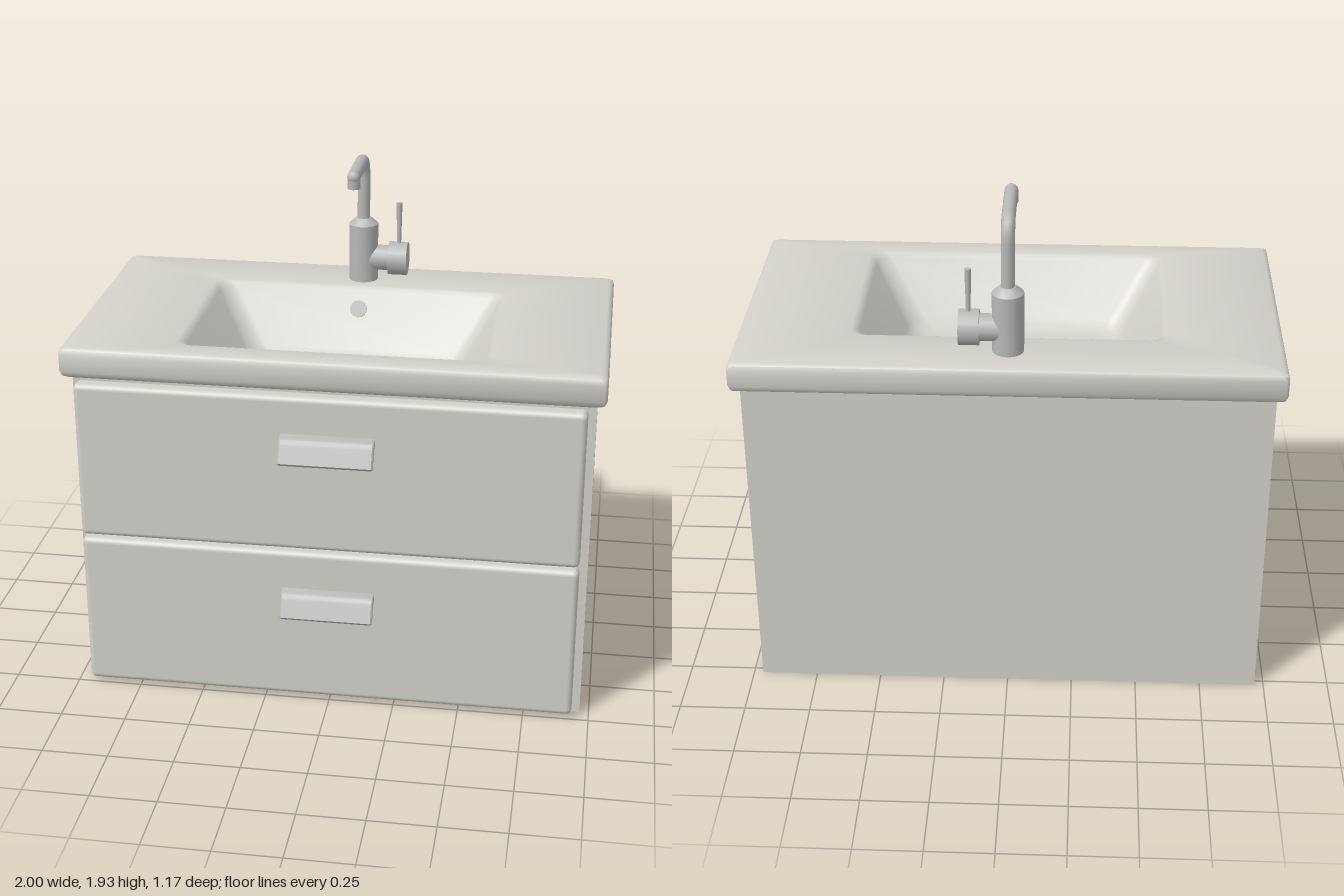
import * as THREE from 'three';
import { toCreasedNormals } from 'three/addons/utils/BufferGeometryUtils.js';
import { RoundedBoxGeometry } from 'three/addons/geometries/RoundedBoxGeometry.js';

const white = new THREE.MeshStandardMaterial({ color: 0xd2d0c9 });
white.name = 'warm white';
const metal = new THREE.MeshStandardMaterial({ color: 0xb8b8b8 });
metal.name = 'brushed metal';

function add(parent, name, geometry, material, x = 0, y = 0, z = 0) {
  const mesh = new THREE.Mesh(geometry, material);
  mesh.name = name;
  mesh.position.set(x, y, z);
  parent.add(mesh);
  return mesh;
}

// Rounded rectangle at height y, as a loop of points
function loop([hx, z0, z1, r, y], steps = 4) {
  const points = [];
  const corners = [[hx - r, z1 - r], [-hx + r, z1 - r], [-hx + r, z0 + r], [hx - r, z0 + r]];
  corners.forEach(([cx, cz], q) => {
    for (let i = 0; i <= steps; i++) {
      const a = (q + i / steps) * Math.PI / 2;
      points.push([cx + r * Math.cos(a), y, cz + r * Math.sin(a)]);
    }
  });
  return points;
}

// Skin stretched over a stack of loops
function loft(sections, crease) {
  const loops = sections.map((s) => loop(s));
  const n = loops[0].length;
  const index = [];
  for (let i = 0; i < loops.length - 1; i++) {
    for (let j = 0; j < n; j++) {
      const k = (j + 1) % n;
      const a = i * n + j, b = i * n + k, c = b + n, d = a + n;
      index.push(a, d, c, a, c, b);
    }
  }
  const g = new THREE.BufferGeometry();
  g.setAttribute('position', new THREE.Float32BufferAttribute(loops.flat(2), 3));
  g.setIndex(index);
  return toCreasedNormals(g, crease);
}

function washbasin() {
  // half width, back z, front z, corner radius, y
  return loft([
    [0.90, -0.50, 0.42, 0.01, 1.29],
    [0.975, -0.56, 0.48, 0.012, 1.29],
    [0.992, -0.577, 0.497, 0.015, 1.30],
    [1.00, -0.585, 0.505, 0.018, 1.32],
    [1.00, -0.585, 0.505, 0.018, 1.385],
    [0.995, -0.58, 0.50, 0.018, 1.402],
    [0.98, -0.565, 0.485, 0.015, 1.41],
    [0.585, -0.335, 0.40, 0.05, 1.41],
    [0.57, -0.325, 0.39, 0.05, 1.405],
    [0.555, -0.315, 0.378, 0.06, 1.39],
    [0.43, -0.21, 0.27, 0.07, 1.18],
    [0.405, -0.185, 0.245, 0.07, 1.152],
    [0.36, -0.15, 0.20, 0.06, 1.14],
    [0, -0.05, -0.05, 0, 1.135],
  ], 0.8);
}

// Bent pull, drawn from the side and extruded across
function handleGeometry(width) {
  const s = new THREE.Shape();
  s.moveTo(0, 0.05);
  s.lineTo(0.022, 0.042);
  s.quadraticCurveTo(0.04, 0.036, 0.047, 0.02);
  s.lineTo(0.078, -0.04);
  s.lineTo(0.07, -0.05);
  s.lineTo(0.053, -0.05);
  s.lineTo(0.028, 0.004);
  s.quadraticCurveTo(0.022, 0.014, 0, 0.018);
  const g = new THREE.ExtrudeGeometry(s, {
    depth: width - 0.01, bevelEnabled: true, bevelThickness: 0.005,
    bevelSize: 0.004, bevelOffset: -0.004, bevelSegments: 1, curveSegments: 5,
  });
  g.translate(0, 0, -(width - 0.01) / 2).rotateY(-Math.PI / 2);
  return toCreasedNormals(g, 0.6);
}

function faucet() {
  const g = new THREE.Group();
  g.name = 'faucet';
  g.position.set(0, 1.41, -0.43);

  // Body with tapered shoulder
  const profile = [[0, 0], [0.058, 0], [0.058, 0.23], [0.03, 0.255], [0, 0.255]]
    .map(([r, y]) => new THREE.Vector2(r, y));
  add(g, 'faucetBody', toCreasedNormals(new THREE.LatheGeometry(profile, 20), 0.6), metal);

  // Spout: riser, bend and forward arm
  const path = new THREE.CurvePath();
  const v = (y, z) => new THREE.Vector3(0, y, z);
  path.add(new THREE.LineCurve3(v(0.24, 0), v(0.43, 0)));
  path.add(new THREE.QuadraticBezierCurve3(v(0.43, 0), v(0.50, 0.005), v(0.50, 0.065)));
  path.add(new THREE.LineCurve3(v(0.50, 0.065), v(0.50, 0.285)));
  add(g, 'spout', new THREE.TubeGeometry(path, 40, 0.025, 12), metal);
  const tip = new THREE.SphereGeometry(0.025, 12, 8);
  tip.scale(1, 1, 0.9);
  add(g, 'spoutEnd', tip, metal, 0, 0.50, 0.285);
  add(g, 'nozzle', new THREE.CylinderGeometry(0.025, 0.025, 0.045, 12), metal, 0, 0.478, 0.28);

  // Side mixer knob and lever
  const neck = new THREE.CylinderGeometry(0.05, 0.05, 0.11, 16).rotateZ(-Math.PI / 2);
  add(g, 'mixerNeck', neck, metal, 0.055, 0.09, 0);
  const knob = new THREE.CylinderGeometry(0.066, 0.066, 0.075, 20).rotateZ(-Math.PI / 2);
  add(g, 'mixerKnob', knob, metal, 0.14, 0.09, 0);
  add(g, 'lever', new THREE.CylinderGeometry(0.012, 0.008, 0.18, 8), metal, 0.142, 0.23, 0);
  return g;
}

export function createModel() {
  const model = new THREE.Group();
  model.name = 'vanityUnit';

  // Open-topped carcass, leaving room for the bowl
  const box = new THREE.BoxGeometry(1.93, 1.29, 0.97);
  const faces = Array.from(box.index.array);
  faces.splice(12, 6);
  box.setIndex(faces);
  box.clearGroups();
  add(model, 'cabinet', box, white, 0, 0.645, -0.04);

  // Drawers with handles
  const handle = handleGeometry(0.35);
  [['lowerDrawer', 0.33, 0.44], ['upperDrawer', 0.963, 1.08]].forEach(([name, y, handleY]) => {
    const drawer = new THREE.Group();
    drawer.name = name;
    add(drawer, 'drawerFront', new RoundedBoxGeometry(1.885, 0.62, 0.068, 3, 0.022), white, -0.0075, y, 0.477);
    add(drawer, 'handle', handle, metal, 0, handleY, 0.508);
    model.add(drawer);
  });

  // Countertop with sunken bowl
  add(model, 'washbasin', washbasin(), white);
  add(model, 'drain', new THREE.CylinderGeometry(0.045, 0.05, 0.012, 16), metal, 0, 1.143, -0.11);
  const overflow = add(model, 'overflow', new THREE.CylinderGeometry(0.034, 0.034, 0.008, 16), metal, 0, 1.33, -0.283);
  overflow.rotation.x = 1.115;

  model.add(faucet());
  return model;
}
